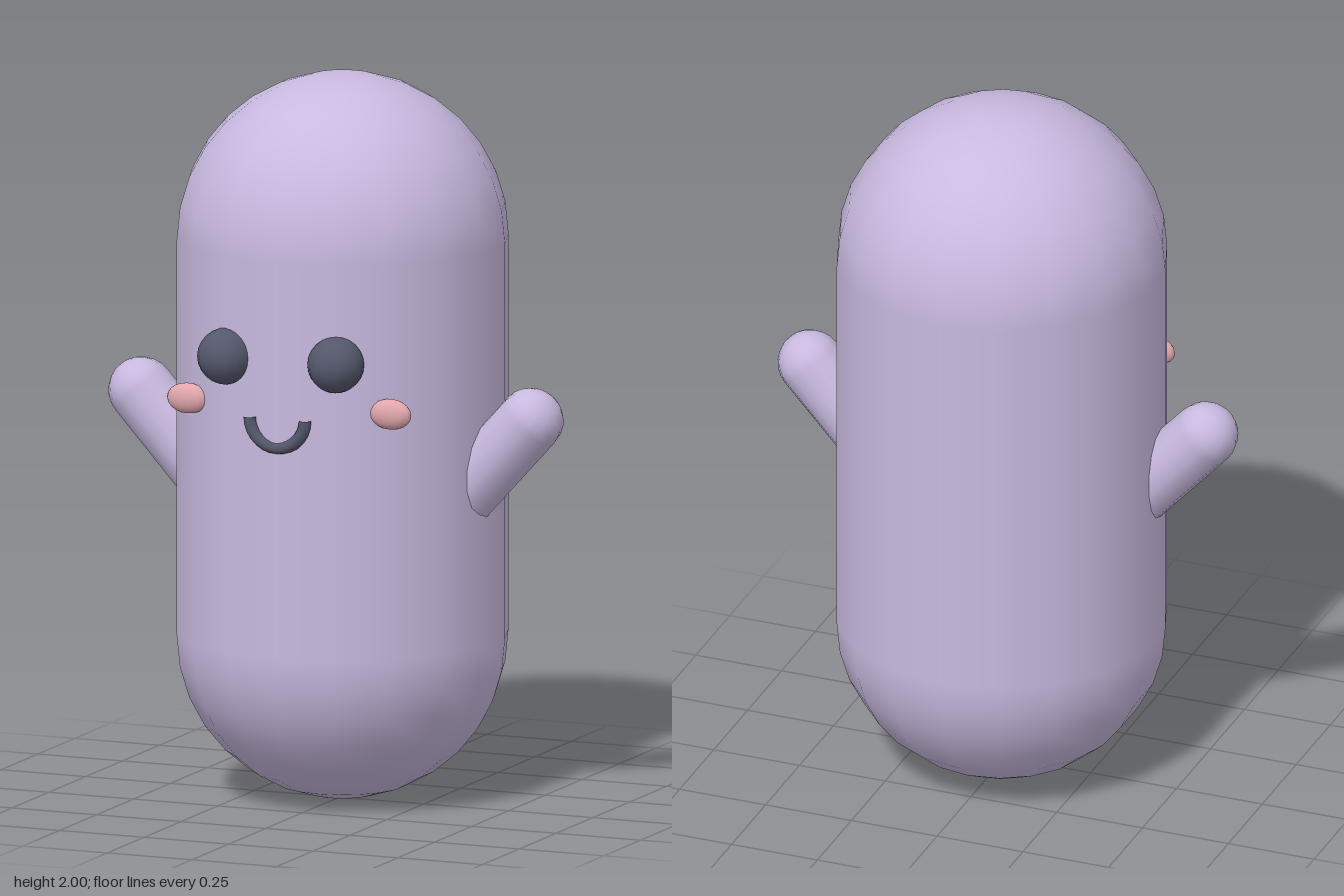
import * as THREE from 'three';

const lilac = new THREE.MeshStandardMaterial({ color: 0xc8b9df });
const slate = new THREE.MeshStandardMaterial({ color: 0x54586c });
const blush = new THREE.MeshStandardMaterial({ color: 0xe2a7ad });
lilac.name = 'lilac';
slate.name = 'slate';
blush.name = 'blush';

export function createModel() {
  const model = new THREE.Group();
  model.name = 'capsuleFigure';

  const add = (name, geometry, material, x, y, z) => {
    const mesh = new THREE.Mesh(geometry, material);
    mesh.name = name;
    mesh.position.set(x, y, z);
    model.add(mesh);
    return mesh;
  };

  // Pill-shaped body, 18 sides with an edge facing the front
  const body = new THREE.CapsuleGeometry(0.4525, 1.09, 8, 18);
  body.rotateY(Math.PI / 2);
  add('body', body, lilac, 0, 1.0025, -0.0225);

  for (const [side, s] of [['left', 1], ['right', -1]]) {
    // Raised arm, its upper end at the origin and its lower end inside the body
    const armGeometry = new THREE.CapsuleGeometry(0.09, 0.32, 6, 14);
    armGeometry.translate(0, -0.16, 0);
    const arm = add(side + 'Arm', armGeometry, lilac, s * 0.575, 1.09, 0.0225);
    arm.rotation.z = -s * 0.74;

    // Eye
    add(side + 'Eye', new THREE.SphereGeometry(0.077, 16, 12), slate, s * 0.163, 1.278, 0.398);

    // Flattened cheek
    const cheek = add(side + 'Cheek', new THREE.SphereGeometry(1, 14, 10), blush, s * 0.3, 1.142, 0.34);
    cheek.scale.set(0.061, 0.042, 0.026);
  }

  // Smile: lower half of a ring
  const smile = new THREE.TorusGeometry(0.082, 0.018, 8, 14, Math.PI);
  smile.rotateZ(Math.PI);
  add('smile', smile, slate, 0, 1.122, 0.42);

  return model;
}
